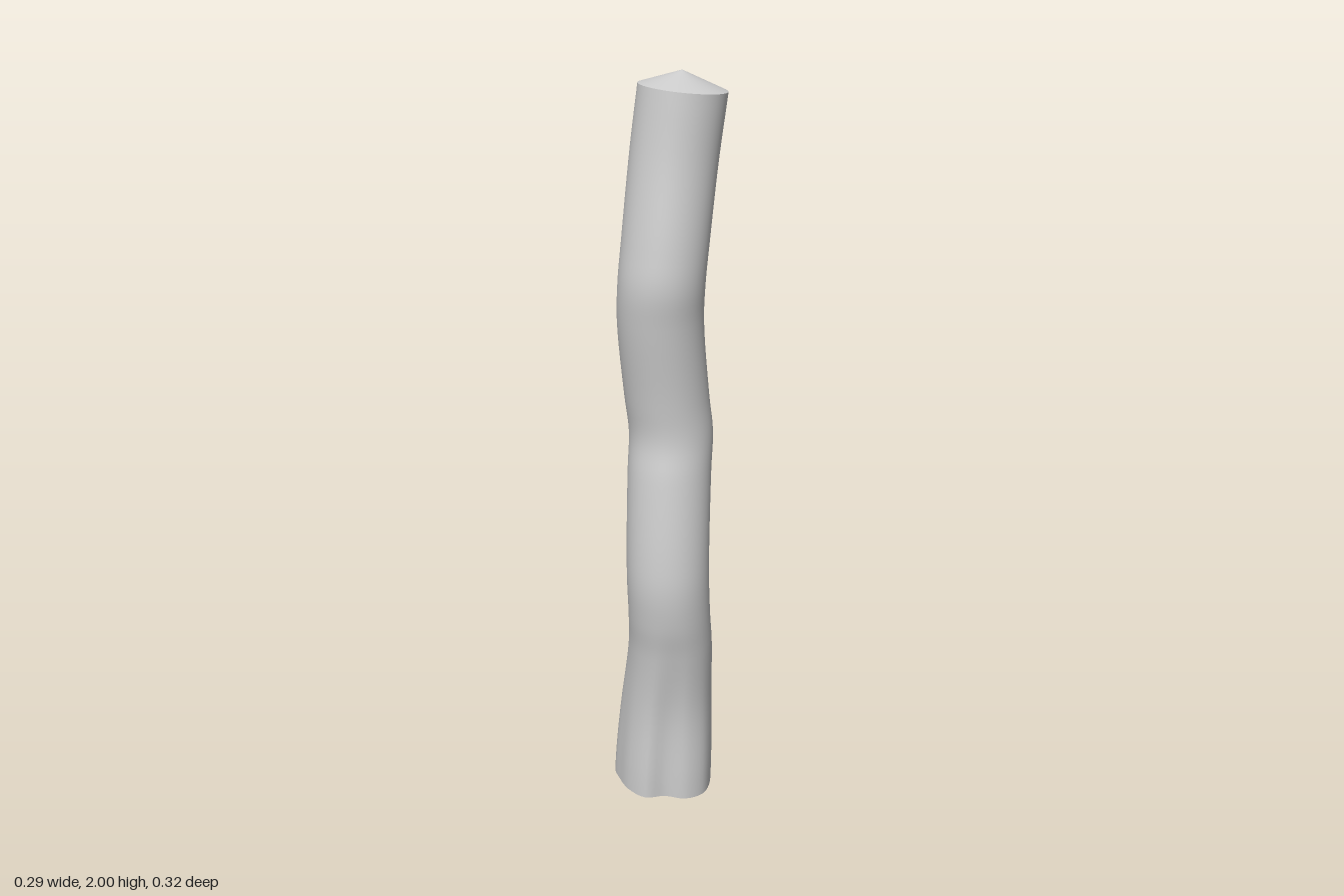
import * as THREE from 'three';

const V = (x, y, z) => new THREE.Vector3(x, y, z);
const SEG = 60, STEPS = 72, RADIUS = 0.108;

// Wavering centre line of the trunk, bottom to top
const spine = new THREE.CatmullRomCurve3([
  [-0.013, 0.055, -0.027], [-0.003, 0.3, -0.019], [0.005, 0.5, 0.018], [0.001, 0.6, 0.04],
  [-0.003, 0.7, 0.049], [-0.003, 0.8, 0.042], [0.003, 1.0, 0.012], [0.008, 1.1, -0.006],
  [-0.003, 1.2, -0.003], [-0.02, 1.4, 0.02], [-0.018, 1.5, 0.031], [-0.008, 1.6, 0.022],
  [0.015, 1.8, -0.007], [0.037, 1.96, -0.021],
].map(p => V(...p)));

// Lobed outline of the foot, as x and z
const foot = new THREE.CatmullRomCurve3([
  [-0.147, -0.04], [-0.124, -0.087], [-0.085, -0.145], [-0.035, -0.152], [0.015, -0.158],
  [0.06, -0.135], [0.09, -0.085], [0.12, -0.03], [0.113, 0.03], [0.09, 0.075],
  [0.04, 0.1], [-0.015, 0.09], [-0.07, 0.1], [-0.115, 0.06], [-0.136, 0.01],
].map(([x, z]) => V(x + 0.013, 0, z + 0.027)), true);
const footPoints = foot.getPoints(SEG);

// One ring: round above, blending into the lobed outline near the foot
function ring(t) {
  const c = spine.getPoint(t);
  const lobed = 1 - THREE.MathUtils.smoothstep(c.y, 0.05, 0.65);
  const topTilt = THREE.MathUtils.smoothstep(c.y, 1.6, 1.96);
  const footTilt = 1 - THREE.MathUtils.smoothstep(c.y, 0.05, 0.3);
  return footPoints.map(f => {
    const p = f.clone().normalize().multiplyScalar(RADIUS).lerp(f, lobed);
    p.y = -p.x * (0.1 * topTilt + 0.08 * footTilt);
    return p.add(c);
  });
}

// Skin a list of rings that run upwards
function skin(rings) {
  const pos = rings.flat().flatMap(p => [p.x, p.y, p.z]);
  const index = [], n = SEG + 1;
  for (let i = 0; i < rings.length - 1; i++) {
    for (let j = 0; j < SEG; j++) {
      const a = i * n + j, b = a + 1, c = a + n, d = c + 1;
      index.push(a, b, c, b, d, c);
    }
  }
  const g = new THREE.BufferGeometry();
  g.setAttribute('position', new THREE.Float32BufferAttribute(pos, 3));
  g.setIndex(index);
  g.computeVertexNormals();
  // Match the normals along the seam
  const nor = g.attributes.normal;
  const a = V(0, 0, 0), b = V(0, 0, 0);
  for (let i = 0; i < rings.length; i++) {
    a.fromBufferAttribute(nor, i * n);
    b.fromBufferAttribute(nor, i * n + SEG);
    a.add(b).normalize();
    nor.setXYZ(i * n, a.x, a.y, a.z);
    nor.setXYZ(i * n + SEG, a.x, a.y, a.z);
  }
  return g;
}

// Shallow conical cap between a rim and its tip
function capRings(rim, tip) {
  return [0, 0.33, 0.66, 1].map(k => rim.map(p => p.clone().lerp(tip, k)));
}

export function createModel() {
  const group = new THREE.Group();
  group.name = 'log';
  const material = new THREE.MeshStandardMaterial({ color: 0xcccccc });
  const add = (name, rings) => {
    const mesh = new THREE.Mesh(skin(rings), material);
    mesh.name = name;
    group.add(mesh);
  };

  const rings = Array.from({ length: STEPS + 1 }, (_, i) => ring(i / STEPS));
  // The foot outline runs clockwise seen from below, so flip it to face outwards
  const a = rings[0][0], b = rings[0][1], c = rings[1][0];
  const outward = b.clone().sub(a).cross(c.clone().sub(a)).dot(V(a.x, 0, a.z));
  if (outward < 0) rings.forEach(r => r.reverse());

  add('trunk', rings);
  add('topCap', capRings(rings[STEPS], V(0.035, 2, -0.02)));
  add('bottomCap', capRings(rings[0], V(-0.01, 0, -0.02)).reverse());
  return group;
}
